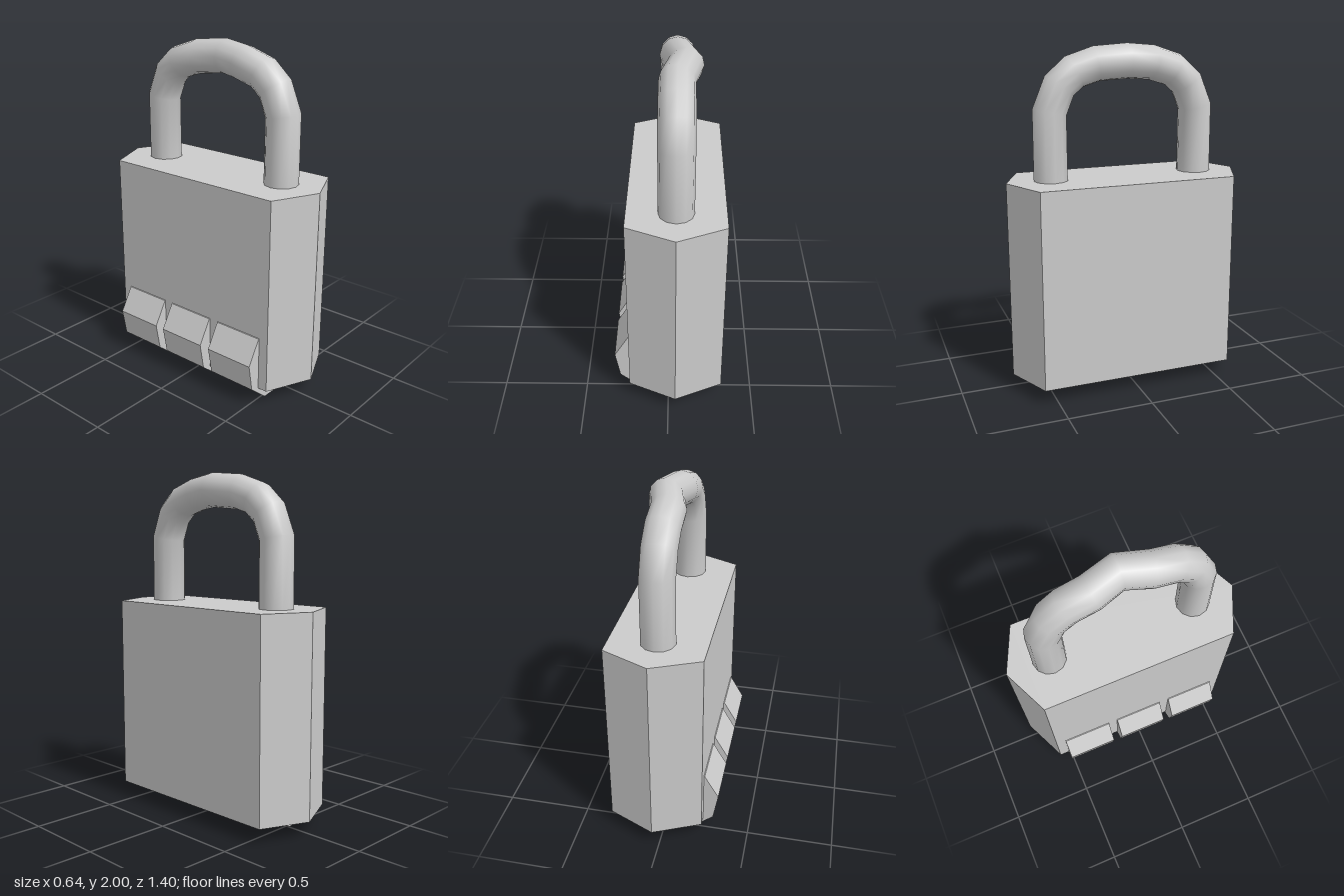
import * as THREE from 'three';

const CX = 0.042; // centre line of body and shackle

// Faceted path: one tube ring per point, turned to the bisector of its neighbours
class FacetedPath extends THREE.Curve {
  constructor(points) {
    super();
    this.points = points;
  }
  getPoint(t) {
    return this.points[Math.round(t * (this.points.length - 1))].clone();
  }
  getPointAt(u) {
    return this.getPoint(u);
  }
  getTangentAt(u) {
    const p = this.points, i = Math.round(u * (p.length - 1));
    const here = p[i], tangent = new THREE.Vector3();
    if (i > 0) tangent.add(here.clone().sub(p[i - 1]).normalize());
    if (i < p.length - 1) tangent.add(p[i + 1].clone().sub(here).normalize());
    return tangent.normalize();
  }
}

export function createModel() {
  const group = new THREE.Group();
  const flat = new THREE.MeshStandardMaterial({ color: 0xcccccc, flatShading: true });
  const smooth = new THREE.MeshStandardMaterial({ color: 0xcccccc });

  const add = (name, geometry, material) => {
    const mesh = new THREE.Mesh(geometry, material);
    mesh.name = name;
    group.add(mesh);
    return mesh;
  };

  // Body: six-sided prism with pointed front and back
  const outline = new THREE.Shape([
    [0, -0.7], [0.274, -0.577], [0.274, 0.577], [0, 0.7], [-0.274, 0.577], [-0.274, -0.577],
  ].map(([x, z]) => new THREE.Vector2(CX + x, z)));
  const body = new THREE.ExtrudeGeometry(outline, { depth: 1.155, bevelEnabled: false });
  body.rotateX(-Math.PI / 2).translate(0, 0.09, 0);
  add('body', body, flat);

  // Shackle: half path as [z, y, sideways bend], mirrored to the other leg
  const half = [
    [0.443, 1.2, 0], [0.443, 1.63, 0], [0.385, 1.77, 0],
    [0.3, 1.845, 0], [0.165, 1.888, 0], [0, 1.902, 0.046],
  ];
  const mirrored = half.slice(0, -1).reverse().map(([z, y, b]) => [-z, y, b]);
  const points = [...half, ...mirrored].map(([z, y, b]) => new THREE.Vector3(CX + b, y, z));
  add('shackle', new THREE.TubeGeometry(new FacetedPath(points), points.length - 1, 0.099, 12), smooth);

  // Dials: nine-sided wheels poking out of the lower edge
  const dial = new THREE.CylinderGeometry(0.241, 0.241, 0.305, 9, 1, false, Math.PI / 9);
  dial.rotateX(Math.PI / 2);
  [-0.364, 0, 0.367].forEach((z, i) => {
    add(`dial${i + 1}`, dial, flat).position.set(-0.082, 0.2265, z);
  });

  return group;
}
